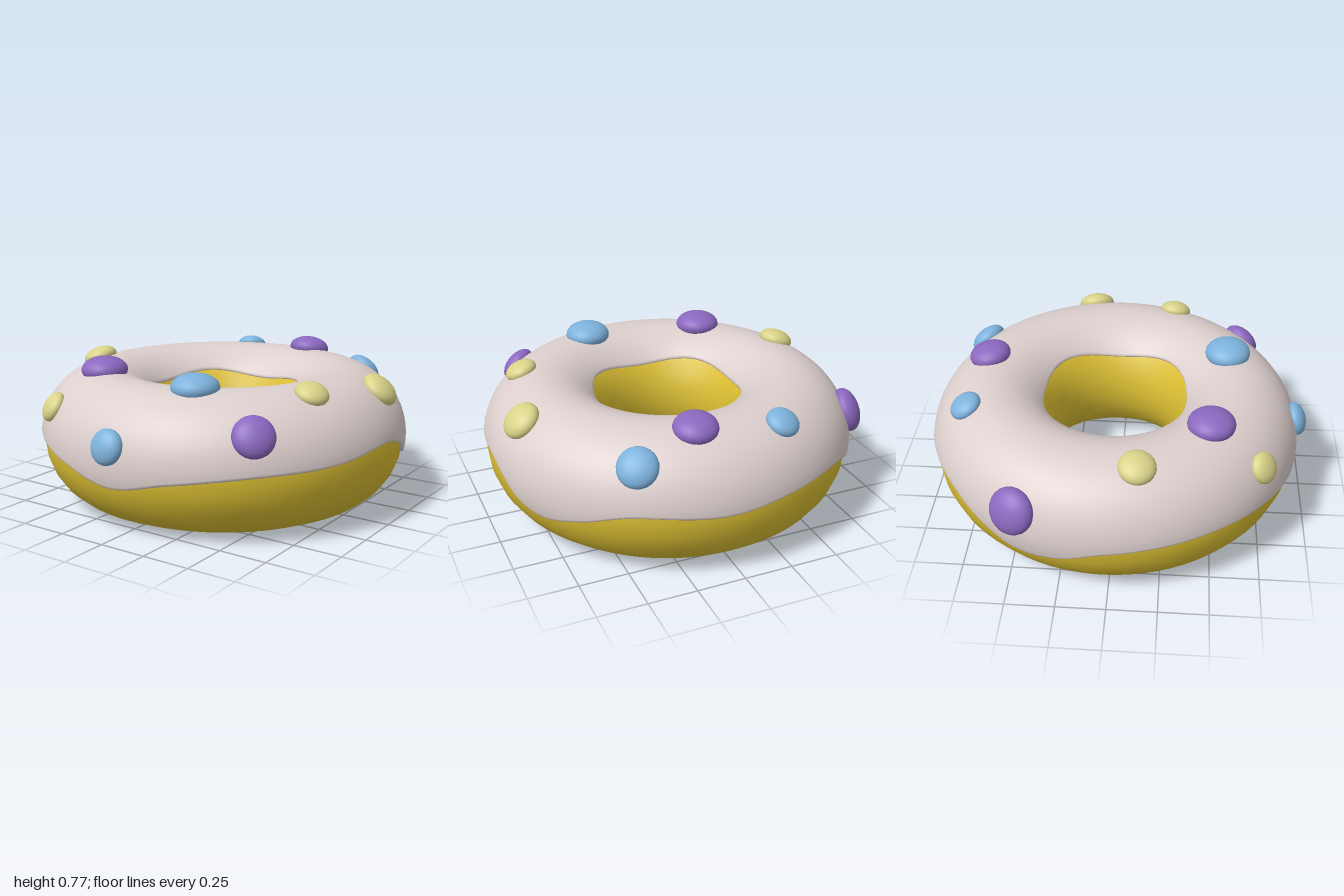
import * as THREE from 'three';

const R = 0.64;          // ring radius
const CZ = -0.025;       // ring centre in z
const ICE = { rx: 0.335, ry: 0.35, cy: 0.35 };

const mat = (name, color, side = THREE.FrontSide) => {
  const m = new THREE.MeshStandardMaterial({ color, side });
  m.name = name;
  return m;
};

// Heights of the icing's dripping outer edge: [degrees, y]
const EDGE = [[0, 0.41], [23, 0.375], [50, 0.355], [72, 0.31], [90, 0.25], [108, 0.31],
  [128, 0.355], [150, 0.37], [180, 0.33], [192, 0.265], [206, 0.24], [219, 0.32], [233, 0.39],
  [254, 0.39], [275, 0.36], [302, 0.37], [317, 0.30], [331, 0.245], [341, 0.28], [350, 0.37]];

// Smooth periodic interpolation of the edge heights
function edgeHeight(deg) {
  const n = EDGE.length;
  const at = (i) => {
    const w = Math.floor(i / n), p = EDGE[i - w * n];
    return [p[0] + 360 * w, p[1]];
  };
  let i = n - 1;
  while (EDGE[i][0] > deg) i--;
  const [p0, p1, p2, p3] = [at(i - 1), at(i), at(i + 1), at(i + 2)];
  const h = p2[0] - p1[0], t = (deg - p1[0]) / h;
  const m1 = h * (p2[1] - p0[1]) / (p2[0] - p0[0]);
  const m2 = h * (p3[1] - p1[1]) / (p3[0] - p1[0]);
  const t2 = t * t, t3 = t2 * t;
  return (2 * t3 - 3 * t2 + 1) * p1[1] + (t3 - 2 * t2 + t) * m1
    + (3 * t2 - 2 * t3) * p2[1] + (t3 - t2) * m2;
}

// Icing shell: rounded lip, dome, rounded lip, swept round the ring
function icingGeometry() {
  const section = [[0.025, 0.91], [0.008, 0.94], [0, 0.97], [0.006, 0.99], [0.02, 1]];
  const lipEnd = section.slice().reverse().map(([s, k]) => [1 - s, k]);
  for (let i = 1; i < 20; i++) section.push([0.02 + 0.96 * i / 20, 1]);
  section.push(...lipEnd);

  const N = 120, M = section.length, pos = [], idx = [];
  for (let i = 0; i < N; i++) {
    const th = i / N * Math.PI * 2;
    const inY = 0.575 + 0.015 * Math.cos(4 * th + Math.PI);
    const a0 = Math.asin((edgeHeight(i / N * 360) - ICE.cy) / ICE.ry);
    const a1 = Math.PI - Math.asin((inY - ICE.cy) / ICE.ry);
    for (const [s, k] of section) {
      const a = a0 + (a1 - a0) * s;
      const r = R + ICE.rx * k * Math.cos(a);
      pos.push(r * Math.cos(th), ICE.cy + ICE.ry * k * Math.sin(a), r * Math.sin(th));
    }
    for (let j = 0; j < M - 1; j++) {
      const p = i * M + j, q = ((i + 1) % N) * M + j;
      idx.push(p, p + 1, q, q, p + 1, q + 1);
    }
  }
  const g = new THREE.BufferGeometry();
  g.setAttribute('position', new THREE.Float32BufferAttribute(pos, 3));
  g.setIndex(idx);
  g.computeVertexNormals();
  return g;
}

export function createModel() {
  const group = new THREE.Group();
  group.name = 'doughnut';
  const mats = {
    purple: mat('purple candy', 0x8b68c0),
    blue: mat('blue candy', 0x7db2dc),
    yellow: mat('yellow candy', 0xd8d288),
  };
  const add = (name, geometry, material) => {
    const mesh = new THREE.Mesh(geometry, material);
    mesh.name = name;
    mesh.position.z = CZ;
    group.add(mesh);
    return mesh;
  };

  // Dough ring
  const dough = new THREE.TorusGeometry(R, 0.318, 24, 80);
  dough.rotateX(Math.PI / 2).scale(1, 0.338 / 0.318, 1).translate(0, 0.338, 0);
  add('dough', dough, mat('golden dough', 0xd8bc32));

  // Icing
  add('icing', icingGeometry(), mat('pale pink icing', 0xdccfcd, THREE.DoubleSide));

  // Candy drops lying flat on the icing: [colour, x, z, radius]
  const drops = [
    ['purple', 0.14, -0.71, 0.11], ['blue', 0.46, -0.785, 0.1], ['blue', -0.29, -0.765, 0.084],
    ['purple', -0.855, -0.455, 0.118], ['yellow', 0.835, -0.195, 0.1], ['yellow', -0.735, 0.13, 0.092],
    ['yellow', 0.705, 0.275, 0.084], ['purple', -0.405, 0.475, 0.12], ['blue', 0.235, 0.565, 0.12],
    ['yellow', -0.525, 0.74, 0.08], ['purple', 0.625, 0.66, 0.103], ['blue', -0.005, 0.94, 0.088],
  ];
  const ball = new THREE.SphereGeometry(1, 24, 16);
  const up = new THREE.Vector3(0, 1, 0);
  for (const [colour, x, z, size] of drops) {
    const th = Math.atan2(z - CZ, x);
    const rad = Math.hypot(x, z - CZ);
    const a = Math.acos(THREE.MathUtils.clamp((rad - R) / 0.342, -0.98, 0.98));
    const r = R + ICE.rx * Math.cos(a);
    const normal = new THREE.Vector3(Math.cos(th) * Math.cos(a) / ICE.rx,
      Math.sin(a) / ICE.ry, Math.sin(th) * Math.cos(a) / ICE.rx).normalize();
    const drop = add(colour + 'Drop', ball, mats[colour]);
    drop.position.set(r * Math.cos(th), ICE.cy + ICE.ry * Math.sin(a), r * Math.sin(th) + CZ)
      .addScaledVector(normal, 0.004);
    drop.quaternion.setFromUnitVectors(up, normal);
    drop.scale.set(size, size * 0.58, size);
  }
  return group;
}
